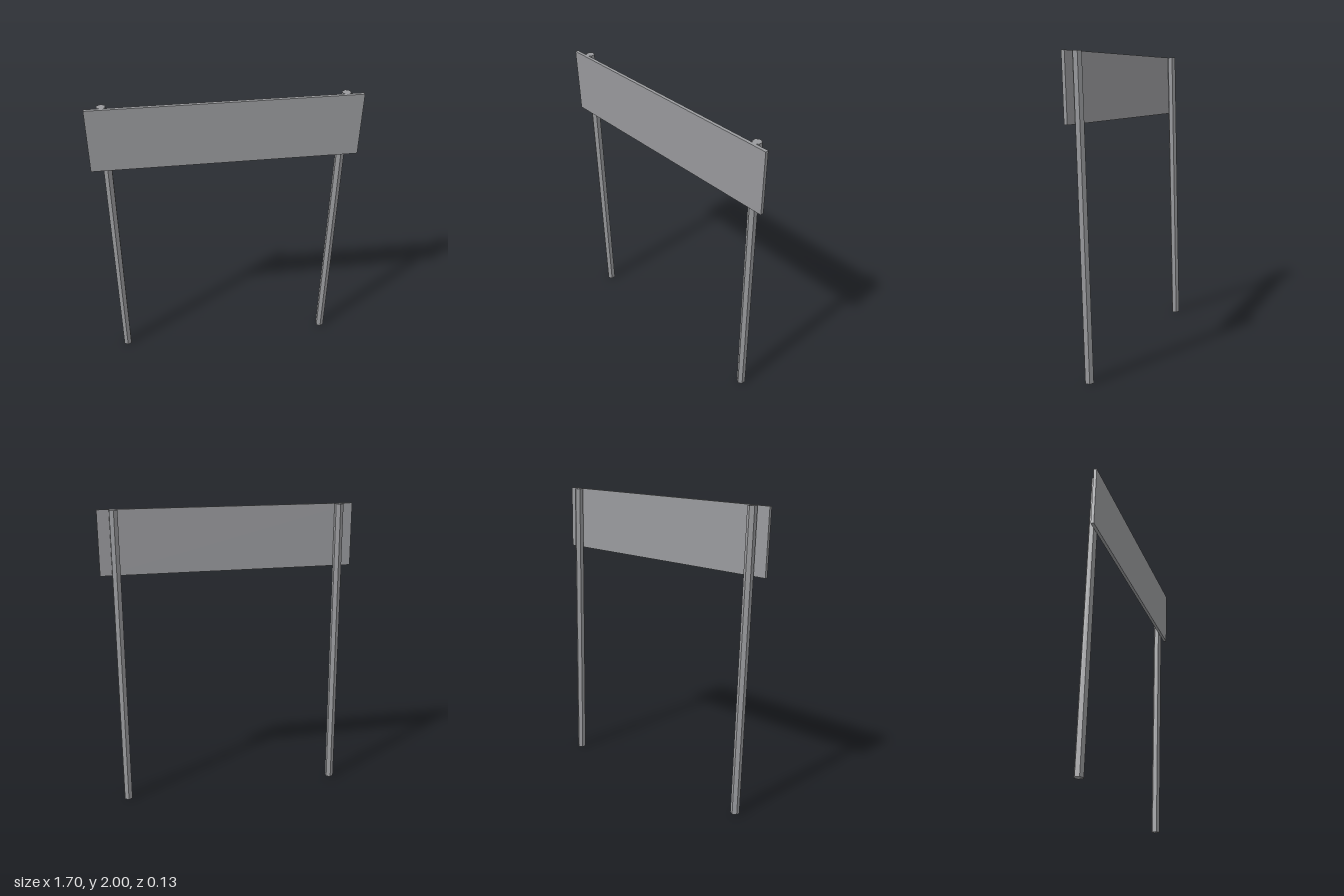
import * as THREE from 'three';

export function createModel() {
  const model = new THREE.Group();
  model.name = 'signFrame';
  const grey = new THREE.MeshStandardMaterial({ color: 0x98999c, flatShading: true });
  grey.name = 'grey metal';

  // Everything leans slightly forward
  const lean = 0.028;
  const frame = new THREE.Group();
  frame.name = 'leaningFrame';
  frame.position.set(0, 0.001, -0.034);
  frame.rotation.x = lean;
  model.add(frame);

  // Two hexagonal posts, an edge facing the front
  const postGeometry = new THREE.CylinderGeometry(0.03, 0.03, 1.999, 6);
  for (const side of [1, -1]) {
    const post = new THREE.Mesh(postGeometry, grey);
    post.name = side > 0 ? 'leftPost' : 'rightPost';
    post.position.set(side * 0.747, 0.9995, 0);
    frame.add(post);
  }

  // Flat sign board on the front of the posts
  const board = new THREE.Mesh(new THREE.BoxGeometry(1.7, 0.42, 0.021), grey);
  board.name = 'board';
  board.position.set(0, 1.79, 0.0355);
  frame.add(board);

  return model;
}
